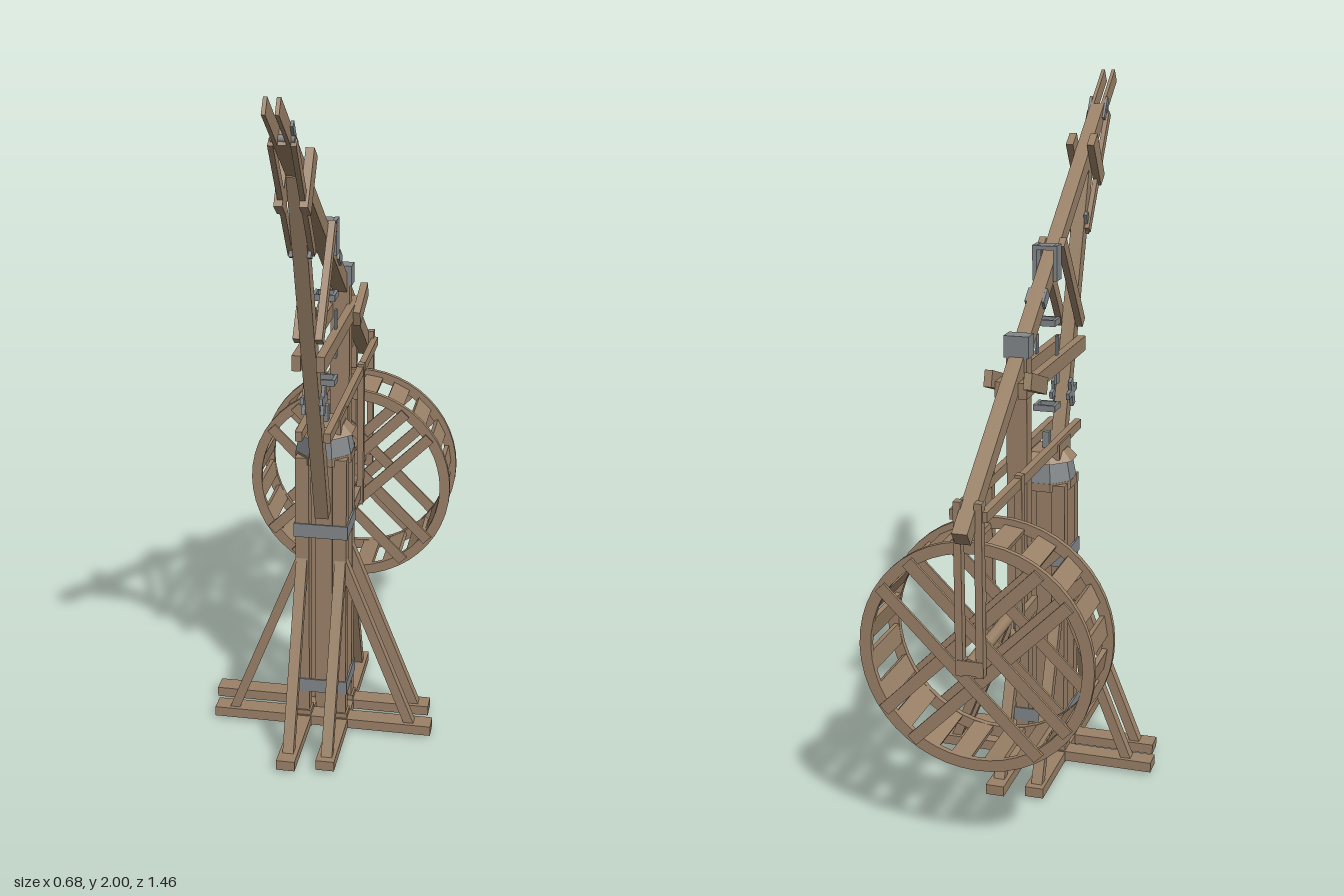
import * as THREE from 'three';

const wood = new THREE.MeshStandardMaterial({ color: 0x9b8268 });
const metal = new THREE.MeshStandardMaterial({ color: 0x84888b });
const CX = 0.006, CZ = 0.03; // mast axis
const V = (x, y, z) => new THREE.Vector3(x, y, z);

function add(parent, name, geo, mat, x = 0, y = 0, z = 0) {
  const m = new THREE.Mesh(geo, mat);
  m.name = name;
  m.position.set(x, y, z);
  parent.add(m);
  return m;
}

function box(parent, name, mat, x, y, z, w, h, d) {
  return add(parent, name, new THREE.BoxGeometry(w, h, d), mat, x, y, z);
}

// Squared timber from a to b; w is its width across x, h its depth
function beam(parent, name, a, b, w, h, mat = wood) {
  const m = add(parent, name, new THREE.BoxGeometry(w, h, a.distanceTo(b)), mat);
  m.position.copy(a).add(b).multiplyScalar(0.5);
  m.lookAt(b);
  return m;
}

// Two matching timbers either side of the jib plane, given as [z, y] ends
function pair(parent, name, a, b, off, w, h, mat = wood) {
  for (const s of [-1, 1]) {
    const x = CX + s * off;
    beam(parent, name, V(x, a[1], a[0]), V(x, b[1], b[0]), w, h, mat);
  }
}

function single(parent, name, a, b, w, h, mat = wood) {
  return beam(parent, name, V(CX, a[1], a[0]), V(CX, b[1], b[0]), w, h, mat);
}

// Hollow square iron strap lying flat
function strap(parent, name, x, y, z, w, d, h, t) {
  const s = new THREE.Shape([[-w, -d], [w, -d], [w, d], [-w, d]].map(p => new THREE.Vector2(p[0] / 2, p[1] / 2)));
  const i = [w / 2 - t, d / 2 - t];
  s.holes.push(new THREE.Path([[-1, -1], [-1, 1], [1, 1], [1, -1]].map(p => new THREE.Vector2(p[0] * i[0], p[1] * i[1]))));
  const g = new THREE.ExtrudeGeometry(s, { depth: h, bevelEnabled: false });
  g.rotateX(-Math.PI / 2);
  g.translate(0, -h / 2, 0);
  return add(parent, name, g, metal, x, y, z);
}

function buildBase() {
  const g = new THREE.Group();
  g.name = 'base';
  for (const s of [-1, 1]) {
    // crossed ground sills, slightly shifted along their length
    box(g, 'groundSill', wood, CX + s * 0.056, 0.022, CZ - s * 0.01, 0.054, 0.03, 0.66);
    box(g, 'groundSill', wood, CX + s * 0.01 - 0.006, 0.024, CZ + s * 0.057, 0.66, 0.03, 0.056);
    // raking braces, one at each sill end
    for (const t of [-1, 1]) {
      beam(g, 'brace', V(CX + s * 0.057, 0.03, CZ + t * 0.285), V(CX + s * 0.057, 0.57, CZ + t * 0.055), 0.032, 0.028);
      beam(g, 'brace', V(CX + t * 0.27, 0.03, CZ + s * 0.057), V(CX + t * 0.055, 0.57, CZ + s * 0.057), 0.032, 0.028);
    }
  }
  return g;
}

function buildMast() {
  const g = new THREE.Group();
  g.name = 'mast';
  box(g, 'centrePost', wood, CX, 0.48, CZ, 0.05, 0.94, 0.05);
  for (const s of [-1, 1]) for (const t of [-1, 1]) {
    box(g, 'cornerPost', wood, CX + s * 0.055, 0.44, CZ + t * 0.055, 0.04, 0.87, 0.04);
    box(g, 'postFoot', wood, CX + s * 0.055, 0.027, CZ + t * 0.055, 0.052, 0.054, 0.05);
  }
  for (const y of [0.14, 0.65]) strap(g, 'mastBand', CX, y, CZ, 0.158, 0.158, 0.042, 0.006);
  // eight-sided iron collar with a timber cap
  const oct = (r1, r2, h) => new THREE.CylinderGeometry(r1, r2, h, 8).rotateY(Math.PI / 8).toNonIndexed();
  const flat = (name, geo, mat, y) => { geo.computeVertexNormals(); add(g, name, geo, mat, CX, y, CZ); };
  flat('capPlate', oct(0.088, 0.088, 0.025), wood, 0.868);
  flat('capCollar', oct(0.075, 0.087, 0.06), metal, 0.91);
  flat('capTop', oct(0.062, 0.09, 0.028), wood, 0.953);
  for (const s of [-1, 1]) {
    box(g, 'capCheek', wood, CX + s * 0.045, 0.97, CZ, 0.02, 0.045, 0.12);
  }
  box(g, 'pivotPin', metal, CX, 0.985, CZ, 0.02, 0.06, 0.02);
  // ironwork hanging on the pivot line
  for (const y of [1.09, 1.34]) strap(g, 'pivotStrap', CX, y, CZ, 0.065, 0.058, 0.018, 0.009);
  for (const s of [-1, 1]) {
    box(g, 'pivotStay', metal, CX + s * 0.03, 1.235, CZ, 0.006, 0.13, 0.02);
    box(g, 'pivotStayHead', metal, CX + s * 0.03, 1.19, CZ, 0.008, 0.06, 0.032);
  }
  return g;
}

function buildJib() {
  const g = new THREE.Group();
  g.name = 'jib';
  const top = V(0, 1.98, 0.718), end = V(0, 0.945, -0.72);
  const at = k => { const p = top.clone().lerp(end, k); return [p.z, p.y]; };
  // boom with a forked tip
  single(g, 'boom', at(0.09), at(1), 0.042, 0.045);
  pair(g, 'boomFork', at(0), at(0.1), 0.016, 0.01, 0.045);
  const sheave = add(g, 'tipPin', new THREE.CylinderGeometry(0.01, 0.01, 0.06, 8), metal, CX, at(0.09)[1] - 0.005, at(0.09)[0]);
  sheave.rotation.z = Math.PI / 2;
  // raking strut and its bracing
  single(g, 'mainStrut', [0.07, 0.69], [0.445, 1.77], 0.04, 0.042);
  pair(g, 'headClamp', [0.485, 1.685], [0.395, 1.815], 0.032, 0.022, 0.052);
  pair(g, 'upperStay', [0.595, 1.875], [0.365, 1.55], 0.028, 0.014, 0.026);
  pair(g, 'cornerBrace', [0.285, 1.285], [0.08, 1.56], 0.03, 0.02, 0.035);
  pair(g, 'upperTie', [0.287, 1.222], [-0.31, 1.222], 0.033, 0.024, 0.044);
  pair(g, 'tieClamp', [-0.185, 1.208], [-0.335, 1.258], 0.055, 0.022, 0.046);
  pair(g, 'lowerTie', [0.225, 0.988], [-0.665, 0.988], 0.04, 0.02, 0.028);
  // boom straps and bolts
  pair(g, 'boomStrap', [0.03, 1.46], [0.03, 1.56], 0.03, 0.012, 0.045, metal);
  box(g, 'boomStrapTop', metal, CX, 1.553, CZ, 0.072, 0.012, 0.045);
  pair(g, 'boomPlate', [-0.045, 1.44], [-0.085, 1.41], 0.024, 0.008, 0.03, metal);
  pair(g, 'stayPlate', [0.6, 1.92], [0.56, 1.86], 0.024, 0.008, 0.02, metal);
  pair(g, 'strutPlate', [0.245, 1.1], [0.16, 1.085], 0.026, 0.01, 0.02, metal);
  pair(g, 'strutPlate', [0.19, 1.13], [0.215, 1.05], 0.026, 0.01, 0.025, metal);
  pair(g, 'strutPlate', [0.36, 1.6], [0.385, 1.54], 0.024, 0.01, 0.02, metal);
  // hanging post
  single(g, 'hangingPost', [-0.237, 0.57], [-0.237, 1.33], 0.058, 0.044);
  box(g, 'postCap', metal, CX, 1.33, -0.237, 0.07, 0.06, 0.05);
  box(g, 'postShoe', metal, CX, 0.565, -0.237, 0.064, 0.03, 0.06);
  box(g, 'postPin', metal, CX, 0.53, -0.237, 0.03, 0.04, 0.035);
  pair(g, 'axleTie', [-0.21, 0.58], [-0.375, 0.58], 0.036, 0.018, 0.042);
  // wheel hangers
  pair(g, 'innerHanger', [-0.368, 0.54], [-0.368, 1.01], 0.042, 0.02, 0.026);
  pair(g, 'outerHanger', [-0.66, 0.55], [-0.66, 1.025], 0.028, 0.02, 0.026);
  box(g, 'outerHangerBlock', wood, CX, 0.575, -0.66, 0.07, 0.04, 0.03);
  return g;
}

function buildWheel() {
  const g = new THREE.Group();
  g.name = 'treadWheel';
  g.position.set(CX, 0.583, -0.523);
  const R = 0.322, sides = 24;
  // two ring-shaped rims
  const ring = new THREE.Shape().absarc(0, 0, R, 0, Math.PI * 2);
  ring.holes.push(new THREE.Path().absarc(0, 0, 0.29, 0, Math.PI * 2, true));
  for (const s of [-1, 1]) {
    const geo = new THREE.ExtrudeGeometry(ring, { depth: 0.016, bevelEnabled: false, curveSegments: sides });
    add(g, 'rim', geo, wood, 0, 0, s * 0.1 - 0.008);
    // clasp arms: two pairs of chords framing the axle
    for (let q = 0; q < 4; q++) {
      const arm = new THREE.Group();
      arm.name = 'claspArm';
      arm.rotation.z = Math.PI / 4 + q * Math.PI / 2;
      box(arm, 'armBoard', wood, 0, 0.055, s * (q % 2 ? 0.113 : 0.119), 0.61, 0.034, 0.008);
      g.add(arm);
    }
  }
  // tread boards
  const n = 20;
  for (let i = 0; i < n; i++) {
    const a = (i + 0.5) / n * Math.PI * 2;
    const t = box(g, 'tread', wood, Math.cos(a) * 0.297, Math.sin(a) * 0.297, 0, 0.014, 0.056, 0.2);
    t.rotation.z = a;
  }
  // axle drum reaching back to the hanging post
  const axle = add(g, 'axle', new THREE.CylinderGeometry(0.018, 0.018, 0.46, 10), wood, 0, 0, 0.08);
  axle.rotation.x = Math.PI / 2;
  return g;
}

export function createModel() {
  const model = new THREE.Group();
  model.name = 'treadwheelCrane';
  model.add(buildBase(), buildMast(), buildJib(), buildWheel());
  return model;
}
